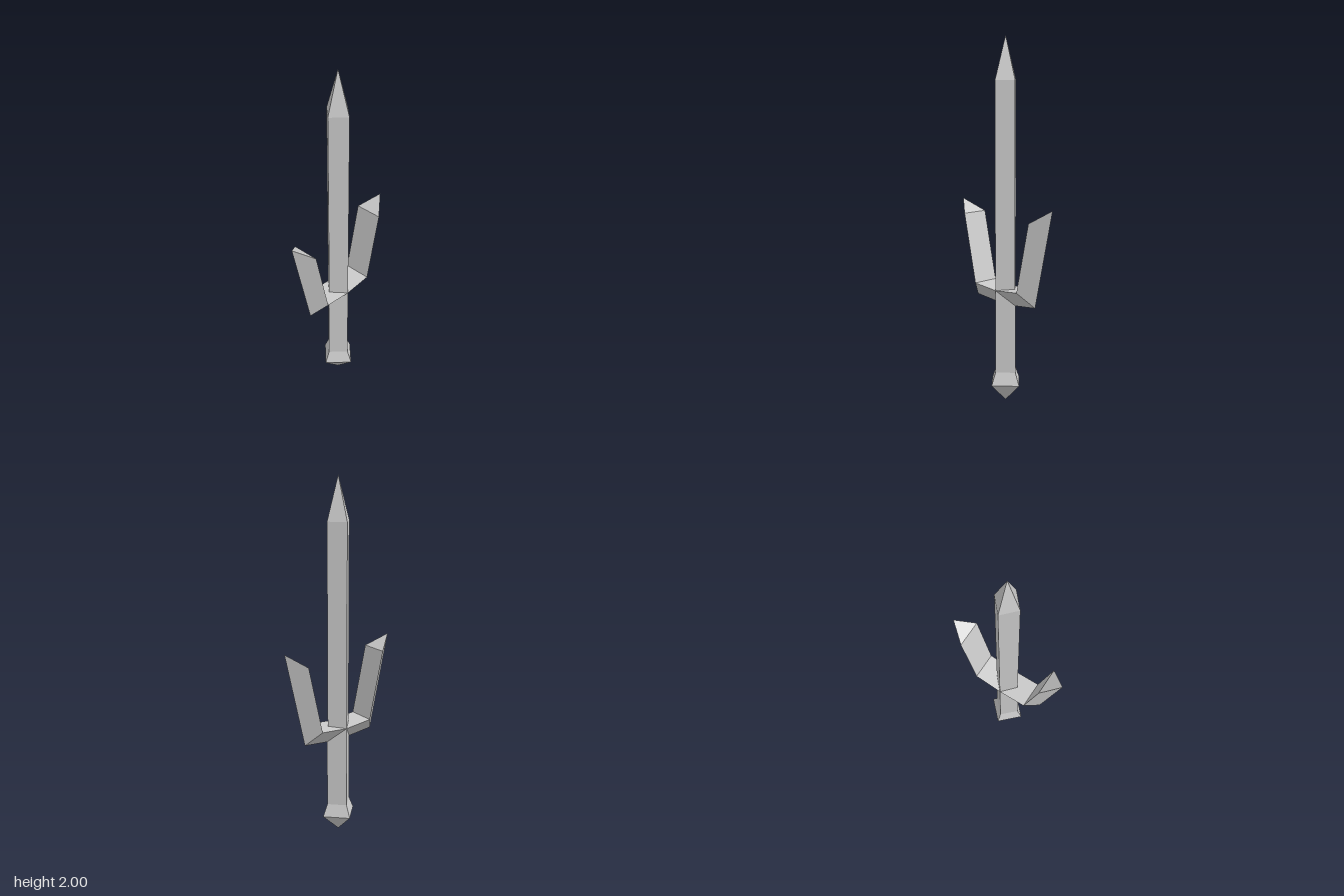
import * as THREE from 'three';

const material = new THREE.MeshStandardMaterial({ color: 0xcccccc, flatShading: true });

// Joins equal-length rings of points into a faceted skin, optionally capping the last ring.
function loft(name, rings, capEnd = false) {
  const pos = [];
  const tri = (a, b, c) => {
    const area = new THREE.Vector3().subVectors(b, a).cross(new THREE.Vector3().subVectors(c, a));
    if (area.length() > 1e-8) for (const p of [a, b, c]) pos.push(p.x, p.y, p.z);
  };
  for (let i = 0; i < rings.length - 1; i++) {
    const lo = rings[i], hi = rings[i + 1], n = lo.length;
    for (let j = 0; j < n; j++) {
      const k = (j + 1) % n;
      tri(lo[j], lo[k], hi[k]);
      tri(lo[j], hi[k], hi[j]);
    }
  }
  if (capEnd) {
    const end = rings[rings.length - 1];
    for (let j = 1; j < end.length - 1; j++) tri(end[0], end[j], end[j + 1]);
  }
  const geometry = new THREE.BufferGeometry();
  geometry.setAttribute('position', new THREE.Float32BufferAttribute(pos, 3));
  geometry.computeVertexNormals();
  const mesh = new THREE.Mesh(geometry, material);
  mesh.name = name;
  return mesh;
}

// Diamond cross-section with corners on the x and z axes
const diamond = ([y, rx, rz]) => [[0, rz], [rx, 0], [0, -rz], [-rx, 0]]
  .map(([x, z]) => new THREE.Vector3(x, y, z));

// Triangular cross-section: flat edge on the inside, ridge on the outside
function wedge([innerX, innerY, ridgeX, ridgeY], side) {
  const ring = [
    new THREE.Vector3(side * innerX, innerY, -0.077),
    new THREE.Vector3(side * innerX, innerY, 0.077),
    new THREE.Vector3(side * ridgeX, ridgeY, 0),
  ];
  return side > 0 ? ring : ring.reverse();
}

export function createModel() {
  const model = new THREE.Group();
  model.name = 'dagger';

  // Pommel, grip and blade: [y, half width, half depth]
  model.add(
    loft('pommel', [[0, 0, 0], [0.105, 0.107, 0.107], [0.175, 0.077, 0.077]].map(diamond)),
    loft('grip', [[0.175, 0.077, 0.077], [0.64, 0.077, 0.077]].map(diamond)),
    loft('blade', [[0.64, 0.072, 0.077], [1.767, 0.072, 0.077], [2, 0, 0]].map(diamond)),
  );

  // Guard arms bending up into prongs: [inner x, inner y, ridge x, ridge y]
  const arm = [
    [0, 0.64, 0.077, 0.555],
    [0.162, 0.655, 0.226, 0.57],
    [0.249, 1.037, 0.347, 1.107],
  ];
  for (const side of [1, -1]) {
    model.add(loft(side > 0 ? 'leftProng' : 'rightProng', arm.map((s) => wedge(s, side)), true));
  }
  return model;
}
